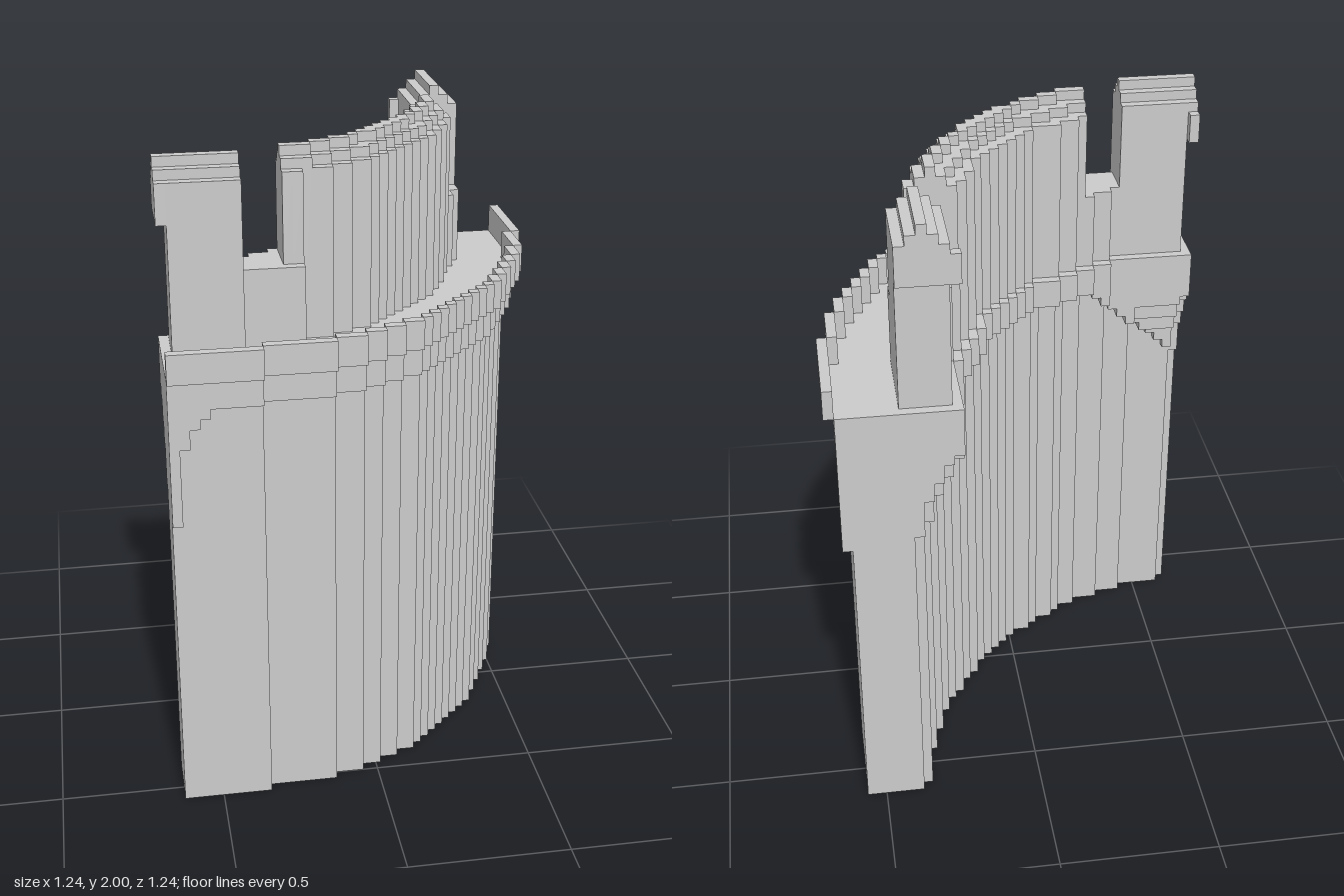
import * as THREE from 'three';

// The curved wall is made of cubes on a 41 x 66 x 41 grid.
const N = 41, H = 66, CELL = 2 / H;

// Plan outlines as runs of [columns, edge row]
const expand = (runs) => runs.flatMap(([n, v]) => Array(n).fill(v));
const OUTER = expand([[9, 41], [7, 40], [3, 39], [2, 38], [2, 37], [2, 36], [1, 35], [1, 34], [1, 33],
  [1, 32], [1, 31], [1, 30], [1, 29], [1, 28], [1, 27], [1, 26], [1, 24], [1, 22], [1, 20], [1, 18], [1, 15], [1, 10]]);
const INNER = expand([[9, 28], [2, 27], [2, 26], [2, 25], [3, 24], [1, 23], [1, 22], [1, 21]]);
// mirror the inner outline over the diagonal
for (let x = INNER.length; x < N; x++) {
  let z = 0;
  while (z < 21 && INNER[z] > x) z++;
  INNER[x] = z;
}

const inside = (x, z) => x < N && z < N && z < OUTER[x];
// distance-n inset of the outer outline
const insideBy = (x, z, n) => {
  for (let i = 0; i <= n; i++) if (!inside(x + i, z + n - i)) return false;
  return true;
};
const past = (x, z) => z >= INNER[x];
const pastByOne = (x, z) => past(Math.max(x - 1, 0), z) && past(x, Math.max(z - 1, 0));

// Lowest rows of the arch steps
const OUTER_ARCH = [32, 40, 42, 43];
const INNER_ARCH = [33, 37, 39, 41, 42];

// Which part, if any, fills a cell
function partAt(x, y, z) {
  if (!inside(x, z) || !past(x, z)) return null;
  const along = Math.min(x, z), across = Math.max(x, z);

  if (y < 47) {
    if (insideBy(x, z, 2)) {
      // hollow side of the wall, with a stepped vault at both ends
      const depth = 36.2 - Math.hypot(x + 3.9, z + 3.9);
      if (depth <= 0) return 'wall';
      const step = INNER_ARCH[Math.floor(depth)] ?? 43;
      return y >= Math.min(44, Math.max(step, 33 + along)) ? 'innerCorbel' : null;
    }
    // arched band on the round side
    return insideBy(x, z, 1) && y >= (OUTER_ARCH[along] ?? 44) ? 'outerCorbel' : null;
  }
  // low lip around the walkway
  if (!insideBy(x, z, 1)) return y < 50 ? 'walkwayLip' : null;

  // parapet: gaps with a low sill, the left one running on past the merlon
  const onLeftArm = z > x;
  const sillDepth = onLeftArm || along >= 10 ? 33 : 34;
  const behindEdge = pastByOne(x, z);
  if (along >= 8 && along < 12) return y < 55 && behindEdge && across < sillDepth ? 'parapet' : null;
  if (onLeftArm && along >= 12 && along < 14 && across === 32) return y < 55 ? 'parapet' : null;

  // end merlons with a stepped ridge and an overhanging end cap
  if (along < 8) {
    if (across >= 34 || y >= H - Math.min(3, Math.abs(across - 31))) return null;
    const capped = along === 0 && y >= 60;
    return capped || (along > 0 && behindEdge) ? 'endMerlon' : null;
  }
  // long merlon along the curve
  const r = Math.hypot(x - 5, z - 5);
  const drop = Math.min(2, Math.round(Math.abs(r - 25.2)));
  return r < 27.5 && behindEdge && y < H - drop ? 'centralMerlon' : null;
}

// Exposed faces only, open at the foot; side faces are joined into tall strips
function buildPart(name, cells) {
  const pos = [];
  const at = (x, y, z) => cells[(x * H + y) * N + z];
  const solid = (x, y, z) => x >= 0 && z >= 0 && x < N && y < H && z < N && at(x, y, z) !== null;
  const quad = (...c) => [0, 1, 2, 0, 2, 3].forEach((i) => {
    const [x, y, z] = c[i];
    pos.push((x - N / 2) * CELL, y * CELL, (z - N / 2) * CELL);
  });
  const sides = [
    [1, 0, [1, 1], [1, 0]], [-1, 0, [0, 0], [0, 1]],
    [0, 1, [0, 1], [1, 1]], [0, -1, [1, 0], [0, 0]],
  ];
  for (let x = 0; x < N; x++) for (let z = 0; z < N; z++) {
    for (const [dx, dz, a, b] of sides) {
      let start = -1;
      for (let y = 0; y <= H; y++) {
        const open = y < H && at(x, y, z) === name && !solid(x + dx, y, z + dz);
        if (open && start < 0) start = y;
        if (!open && start >= 0) {
          quad([x + a[0], start, z + a[1]], [x + b[0], start, z + b[1]],
            [x + b[0], y, z + b[1]], [x + a[0], y, z + a[1]]);
          start = -1;
        }
      }
    }
    for (let y = 0; y < H; y++) {
      if (at(x, y, z) !== name) continue;
      if (!solid(x, y + 1, z)) quad([x, y + 1, z], [x, y + 1, z + 1], [x + 1, y + 1, z + 1], [x + 1, y + 1, z]);
      if (y > 0 && !solid(x, y - 1, z)) quad([x, y, z], [x + 1, y, z], [x + 1, y, z + 1], [x, y, z + 1]);
    }
  }
  const geometry = new THREE.BufferGeometry();
  geometry.setAttribute('position', new THREE.Float32BufferAttribute(pos, 3));
  geometry.computeVertexNormals();
  return geometry;
}

export function createModel() {
  const group = new THREE.Group();
  group.name = 'curvedCastleWall';
  const material = new THREE.MeshStandardMaterial({ color: 0xcccccc, flatShading: true, side: THREE.DoubleSide });
  const cells = [];
  for (let x = 0; x < N; x++) for (let y = 0; y < H; y++) for (let z = 0; z < N; z++) cells.push(partAt(x, y, z));
  for (const name of ['wall', 'innerCorbel', 'outerCorbel', 'walkwayLip', 'parapet', 'endMerlon', 'centralMerlon']) {
    const mesh = new THREE.Mesh(buildPart(name, cells), material);
    mesh.name = name;
    group.add(mesh);
  }
  return group;
}
